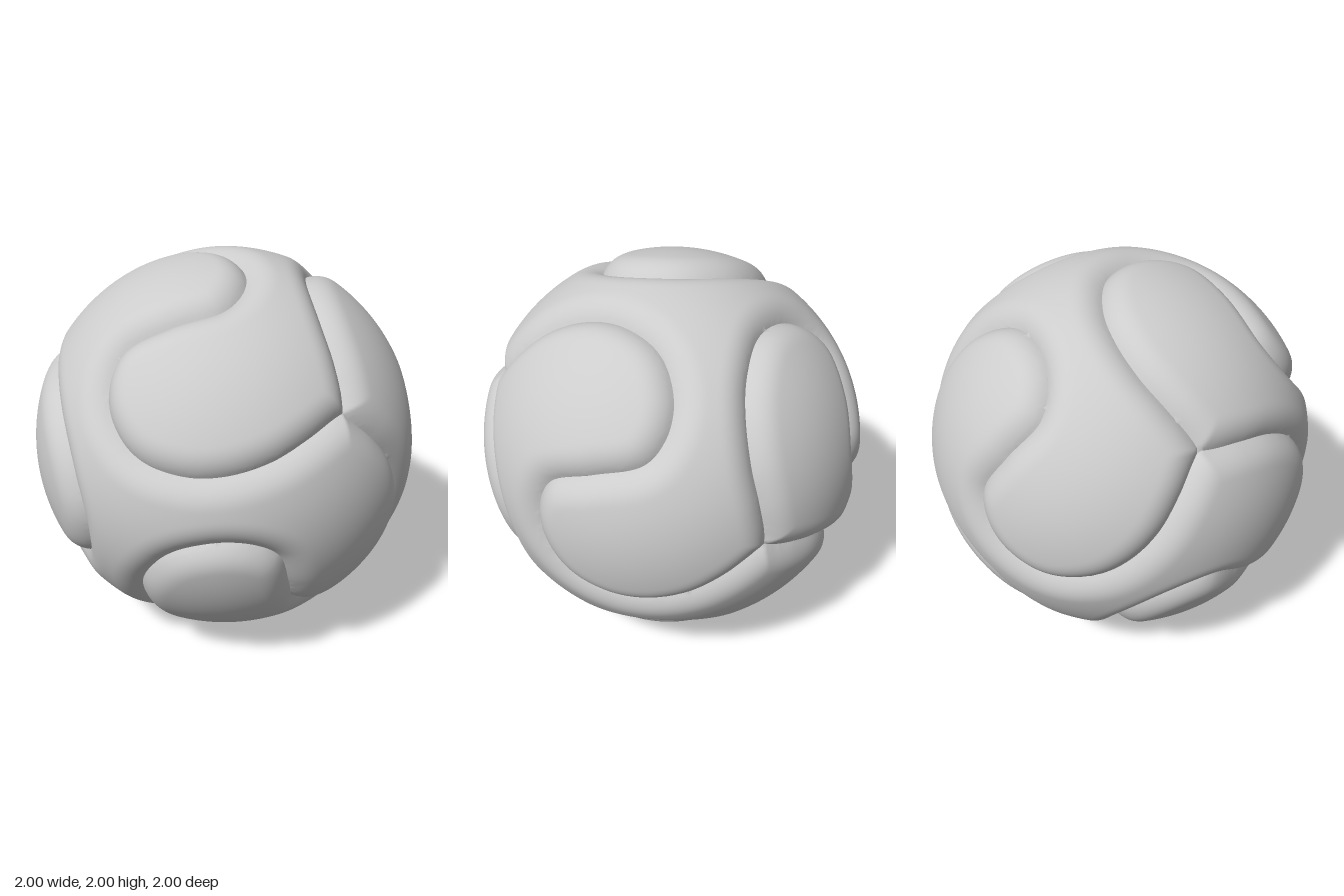
import * as THREE from 'three';
import { mergeVertices } from 'three/addons/utils/BufferGeometryUtils.js';

const SAMPLES = 300;      // points per seam
const GROOVE_WIDTH = 0.15;
const GROOVE_DEPTH = 0.058;
const SNAP = 0.009;       // vertices this close are pulled onto the seam

// Half of one S-shaped seam, in the plane tangent to the ball at the seam's middle
const HALF_SEAM = [
  [-0.19, -0.17], [-0.215, -0.31], [-0.165, -0.455], [-0.04, -0.575], [0.1, -0.625],
  [0.306, -0.61], [0.478, -0.53], [0.63, -0.39], [0.736, -0.213], [0.8165, 0],
];

// Four seam junctions, the corners of a tilted tetrahedron
function junctions() {
  const e1 = new THREE.Vector3(0.83, 0.378, 0.409).normalize();
  const e2 = new THREE.Vector3(-0.499, 0.829, 0.25);
  e2.addScaledVector(e1, -e2.dot(e1)).normalize();
  const e3 = new THREE.Vector3().crossVectors(e2, e1);
  return [[1, 1, -1], [1, -1, 1], [-1, 1, 1], [-1, -1, -1]].map(([a, b, c]) =>
    new THREE.Vector3().addScaledVector(e1, a).addScaledVector(e2, b).addScaledVector(e3, c).normalize());
}

// Points of the seam between two junctions, on the unit sphere
function seamPoints(from, to, flat) {
  const n = from.clone().add(to).normalize();
  const t = to.clone().sub(from).normalize();
  const s = new THREE.Vector3().crossVectors(n, t);
  return flat.map(({ x, y }) => new THREE.Vector3()
    .addScaledVector(t, x).addScaledVector(s, y)
    .addScaledVector(n, Math.sqrt(Math.max(0, 1 - x * x - y * y))).normalize());
}

// Stereographic map that sends the given pole to infinity
function flattener(pole) {
  const u = new THREE.Vector3(0.3, 0.1, 0.9).cross(pole).normalize();
  const v = new THREE.Vector3().crossVectors(pole, u);
  return (p) => {
    const k = 1 / Math.max(1e-6, 1 - p.dot(pole));
    return [p.dot(u) * k, p.dot(v) * k];
  };
}

function inside([x, y], segments) {
  let odd = false;
  for (const [a, b] of segments) {
    if ((a[1] > y) !== (b[1] > y) && x < a[0] + ((b[0] - a[0]) * (y - a[1])) / (b[1] - a[1])) odd = !odd;
  }
  return odd;
}

export function createModel() {
  const group = new THREE.Group();
  group.name = 'ball';
  const panelGrey = new THREE.MeshStandardMaterial({ color: 0xcccccc });
  panelGrey.name = 'panelGrey';

  // Seams: one curve along every edge of the tetrahedron
  const corners = junctions();
  const half = HALF_SEAM.map(([x, y]) => new THREE.Vector3(x, y, 0));
  const path = [...half.map((p) => p.clone().negate()).reverse(), new THREE.Vector3(), ...half];
  const flat = new THREE.CatmullRomCurve3(path).getSpacedPoints(SAMPLES);
  const seams = [];
  for (let i = 0; i < 4; i++) {
    for (let j = i + 1; j < 4; j++) seams.push({ i, j, points: seamPoints(corners[i], corners[j], flat) });
  }
  const seamCloud = seams.flatMap((s) => s.points);

  // Fine sphere with vertices pulled onto the seams
  let sphere = new THREE.IcosahedronGeometry(1, 80);
  sphere.deleteAttribute('normal');
  sphere.deleteAttribute('uv');
  sphere = mergeVertices(sphere, 1e-4);
  const pos = sphere.attributes.position;
  const directions = [];
  const radii = [];
  for (let i = 0; i < pos.count; i++) {
    const p = new THREE.Vector3().fromBufferAttribute(pos, i).normalize();
    let best = -2;
    let nearest = null;
    for (const q of seamCloud) {
      const d = p.x * q.x + p.y * q.y + p.z * q.z;
      if (d > best) { best = d; nearest = q; }
    }
    let distance = p.distanceTo(nearest);
    if (distance < SNAP) { p.copy(nearest); distance = 0; }
    const u = Math.min(1, distance / GROOVE_WIDTH);
    directions.push(p);
    radii.push(1 - GROOVE_DEPTH * Math.pow(1 - u, 2.3));
  }

  // Outline of each panel, bounded by the three seams that miss one junction
  const panels = corners.map((pole, k) => {
    const map = flattener(pole);
    const outline = [];
    for (const seam of seams) {
      if (seam.i === k || seam.j === k) continue;
      const pts = seam.points.map(map);
      for (let n = 0; n < pts.length - 1; n++) outline.push([pts[n], pts[n + 1]]);
    }
    return { map, outline, triangles: [] };
  });

  // Sort the triangles into panels
  const index = sphere.index.array;
  const centre = new THREE.Vector3();
  for (let f = 0; f < index.length; f += 3) {
    const tri = [index[f], index[f + 1], index[f + 2]];
    centre.set(0, 0, 0);
    tri.forEach((v) => centre.add(directions[v]));
    centre.normalize();
    const owner = panels.slice(0, 3).find((p) => inside(p.map(centre), p.outline)) || panels[3];
    owner.triangles.push(...tri);
  }

  // One cushioned mesh per panel, smooth inside and creased at the seams
  panels.forEach((panel, k) => {
    const renumber = new Map();
    const vertices = [];
    const faces = panel.triangles.map((v) => {
      if (!renumber.has(v)) {
        renumber.set(v, renumber.size);
        const p = directions[v];
        vertices.push(p.x * radii[v], p.y * radii[v], p.z * radii[v]);
      }
      return renumber.get(v);
    });
    const geometry = new THREE.BufferGeometry();
    geometry.setAttribute('position', new THREE.Float32BufferAttribute(vertices, 3));
    geometry.setIndex(faces);
    geometry.computeVertexNormals();
    const mesh = new THREE.Mesh(geometry, panelGrey);
    mesh.name = `panel${k + 1}`;
    mesh.position.y = 1;
    group.add(mesh);
  });
  return group;
}
